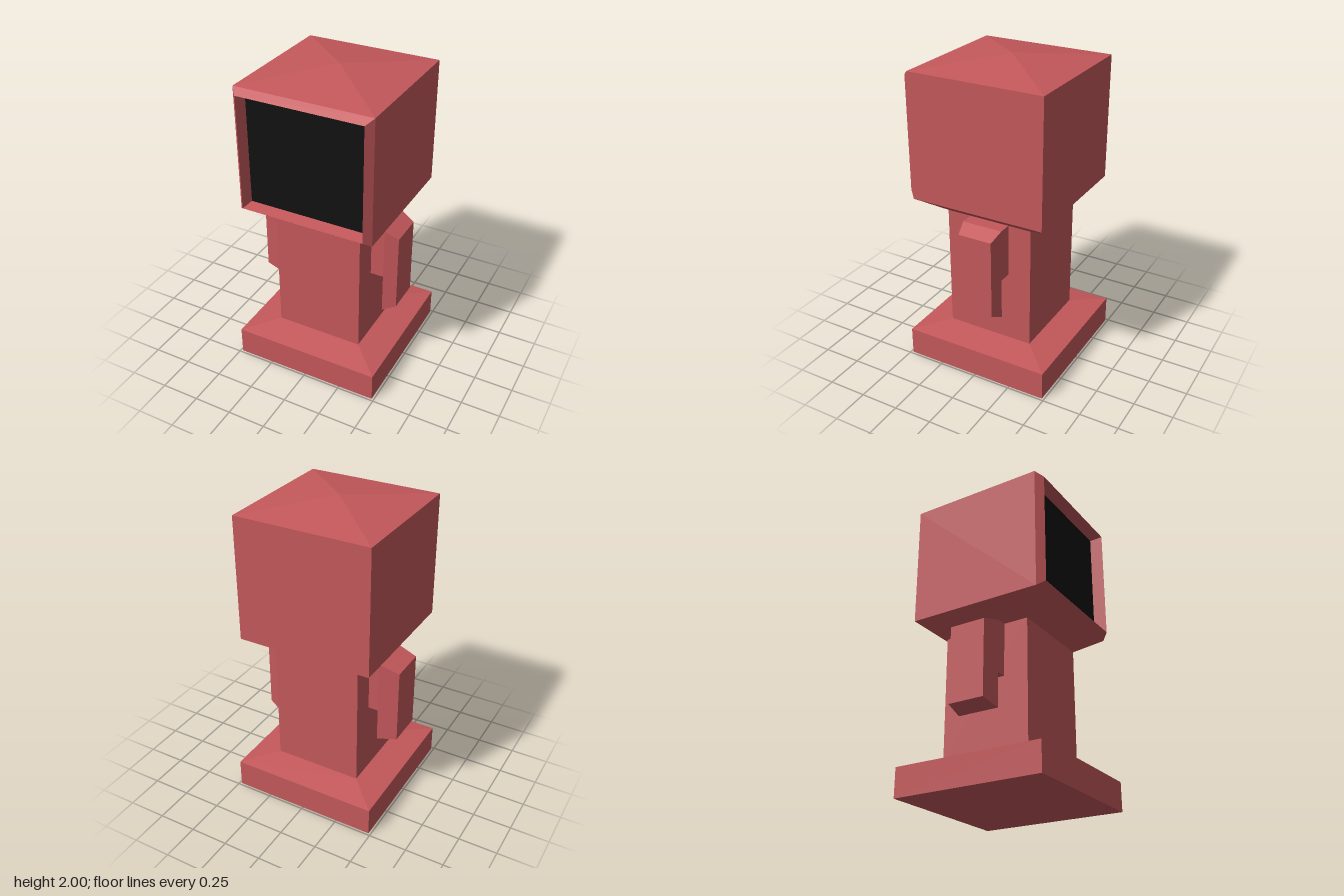
import * as THREE from 'three';

const red = new THREE.MeshStandardMaterial({ color: 0xc4585b, flatShading: true });
const black = new THREE.MeshStandardMaterial({ color: 0x111111 });

// Rectangular rings, counter-clockwise seen from the positive end of their axis
const ringX = (x, y0, y1, h) => [[x, y0, h], [x, y0, -h], [x, y1, -h], [x, y1, h]];
const ringY = (y, h) => [[-h, y, h], [h, y, h], [h, y, -h], [-h, y, -h]];
const ringZ = (z, h, y0, y1) => [[-h, y0, z], [h, y0, z], [h, y1, z], [-h, y1, z]];

// Flat-sided skin through a row of rings, with optional end caps
function loft(name, rings, capStart = true, capEnd = true) {
  const pos = [];
  const quad = (a, b, c, d) => pos.push(...a, ...b, ...c, ...a, ...c, ...d);
  for (let r = 0; r < rings.length - 1; r++) {
    const a = rings[r], b = rings[r + 1];
    for (let i = 0; i < 4; i++) {
      const j = (i + 1) % 4;
      quad(a[i], a[j], b[j], b[i]);
    }
  }
  const last = rings[rings.length - 1];
  if (capStart) quad(...[...rings[0]].reverse());
  if (capEnd) quad(...last);
  const geo = new THREE.BufferGeometry();
  geo.setAttribute('position', new THREE.Float32BufferAttribute(pos, 3));
  geo.computeVertexNormals();
  const mesh = new THREE.Mesh(geo, red);
  mesh.name = name;
  return mesh;
}

// Arm built towards +x: a shoulder block and a tapered hanging forearm
function arm(name, x0, x1, inner, outer, innerHalf, outerHalf) {
  const group = new THREE.Group();
  group.name = name;
  group.add(
    loft('shoulder', [ringX(0.28, 0.69, 1.03, innerHalf), ringX(x0, 0.69, 1.03, innerHalf)], false, false),
    loft('forearm', [ringX(x0, ...inner, innerHalf), ringX(x1, ...outer, outerHalf)])
  );
  return group;
}

export function createModel() {
  const model = new THREE.Group();

  // Plinth with sloped top, and square trunk
  model.add(
    loft('base', [ringY(0, 0.485), ringY(0.185, 0.485), ringY(0.22, 0.29)]),
    loft('body', [ringY(0.22, 0.29), ringY(1.03, 0.29)])
  );

  // Head: tapered neck, box with a bevelled recessed frame, pyramid roof
  const head = new THREE.Group();
  head.name = 'head';
  head.add(
    loft('neck', [ringY(1.03, 0.29), ringY(1.135, 0.44)], true, false),
    loft('headCase', [
      ringZ(-0.44, 0.44, 1.135, 1.94),
      ringZ(0.44, 0.44, 1.135, 1.94),
      ringZ(0.485, 0.4, 1.17, 1.905),
      ringZ(0.405, 0.385, 1.183, 1.89),
    ], true, false),
    loft('roof', [ringY(1.94, 0.44), ringY(2, 0.0005)], false, true)
  );
  const screen = new THREE.Mesh(new THREE.PlaneGeometry(0.77, 0.707), black);
  screen.name = 'screen';
  screen.position.set(0, 1.5365, 0.405);
  head.add(screen);
  model.add(head);

  // Arms, the right one slightly stouter and turned to face -x
  const left = arm('leftArm', 0.375, 0.463, [0.425, 1.03], [0.47, 0.985], 0.133, 0.112);
  const right = arm('rightArm', 0.355, 0.485, [0.47, 1.03], [0.5, 0.99], 0.135, 0.118);
  right.rotation.y = Math.PI;
  left.position.z = right.position.z = -0.005;
  model.add(left, right);

  return model;
}
